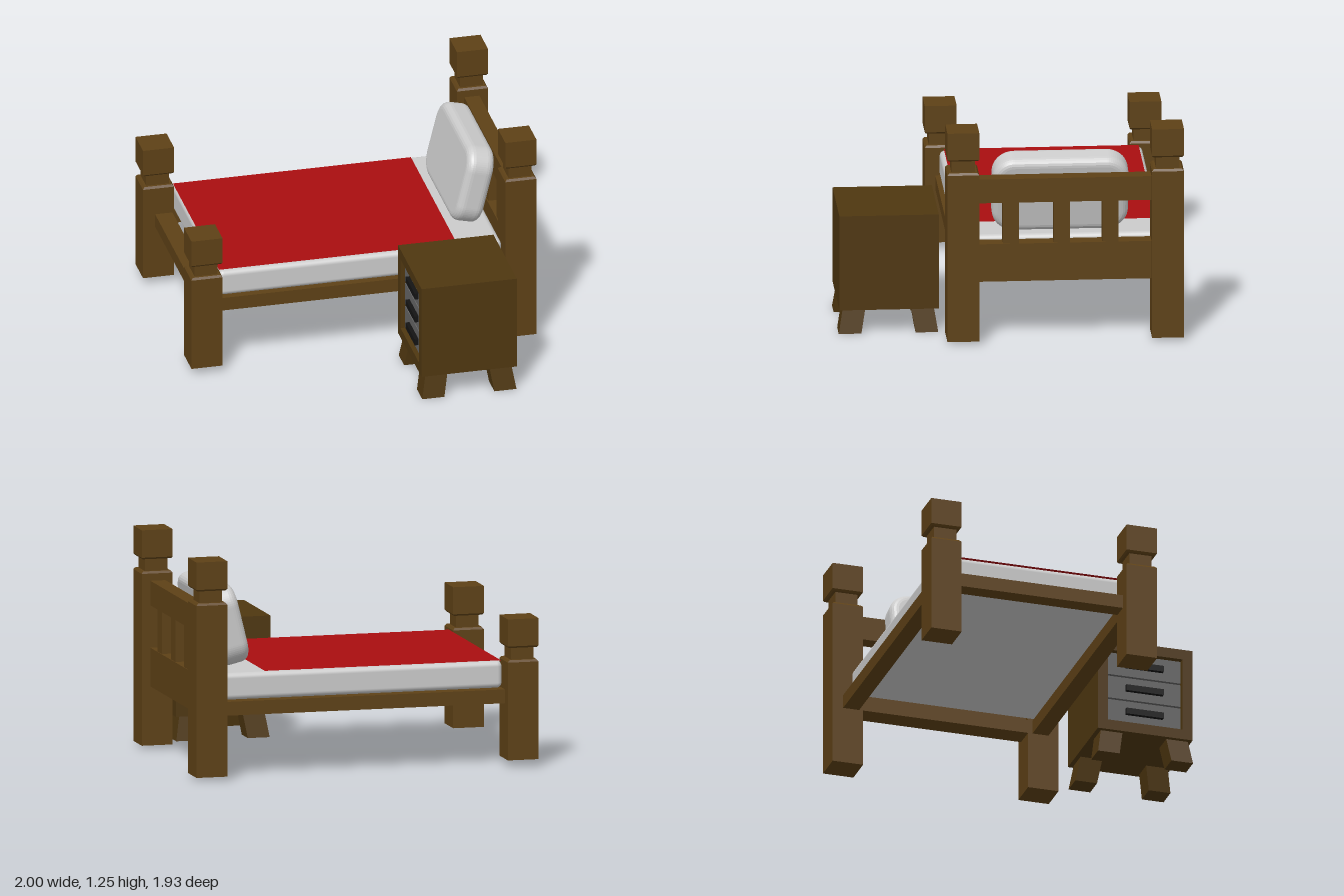
import * as THREE from 'three';
import { RoundedBoxGeometry } from 'three/addons/geometries/RoundedBoxGeometry.js';

const mat = (color, extra = {}) => {
  const m = new THREE.MeshStandardMaterial(extra);
  m.color.set(color);
  return m;
};

export function createModel() {
  const model = new THREE.Group();
  model.name = 'bedroomSet';
  const wood = mat(0x5e4116, { flatShading: true });
  const darkWood = mat(0x4f3710, { flatShading: true });
  const grey = mat(0xcccccc);
  const red = mat(0xaa0e10, { side: THREE.DoubleSide });
  const drawerGrey = mat(0x666666);
  const black = mat(0x141414);

  const bed = new THREE.Group();
  bed.name = 'bed';
  const nightstand = new THREE.Group();
  nightstand.name = 'nightstand';
  model.add(bed, nightstand);

  const add = (parent, name, geometry, material) => {
    const mesh = new THREE.Mesh(geometry, material);
    mesh.name = name;
    parent.add(mesh);
    return mesh;
  };
  // Box given by its limits on each axis
  const box = (parent, name, material, [x0, x1], [y0, y1], [z0, z1]) => {
    const mesh = add(parent, name, new THREE.BoxGeometry(x1 - x0, y1 - y0, z1 - z0), material);
    mesh.position.set((x0 + x1) / 2, (y0 + y1) / 2, (z0 + z1) / 2);
    return mesh;
  };

  // Square bed posts: shaft, narrow neck and block cap, turned as four-sided profiles
  const post = (name, x, z, bottom, shoulder, top) => {
    const h = 0.09, n = 0.066;
    const profile = [
      [0, bottom], [h, bottom], [h, shoulder - 0.012], [h - 0.01, shoulder], [n, shoulder],
      [n, shoulder + 0.07], [h - 0.008, shoulder + 0.07], [h, shoulder + 0.08], [h, top], [0, top],
    ].map(([r, y]) => new THREE.Vector2(r * Math.SQRT2, y));
    const mesh = add(bed, name, new THREE.LatheGeometry(profile, 4, Math.PI / 4), wood);
    mesh.position.set(x, 0, z);
  };
  for (const z of [-0.877, 0.279]) {
    post('headPost', 0.91, z, 0.02, 1.013, 1.25);
    post('footPost', -0.91, z, 0.04, 0.61, 0.845);
  }

  // Bed frame
  const railY = [0.357, 0.436];
  const between = [-0.79, 0.192];
  box(bed, 'sideRail', wood, [-0.83, 0.83], railY, [-0.905, -0.81]);
  box(bed, 'sideRail', wood, [-0.83, 0.83], railY, [0.215, 0.31]);
  box(bed, 'footRail', wood, [-0.93, -0.83], railY, between);
  box(bed, 'headRail', wood, [0.82, 0.95], railY, between);

  // Headboard
  const boardX = [0.862, 0.95];
  box(bed, 'headboardPanel', wood, boardX, [0.436, 0.578], between);
  box(bed, 'headboardTopBar', wood, boardX, [0.82, 0.96], between);
  for (const z of [0.006, -0.281, -0.555]) {
    box(bed, 'headboardSlat', wood, [0.868, 0.946], [0.57, 0.83], [z - 0.045, z + 0.045]);
  }

  // Mattress and blanket
  const mattress = add(bed, 'mattress', new RoundedBoxGeometry(1.64, 0.153, 1.145, 4, 0.03), grey);
  mattress.position.set(0, 0.5125, -0.285);
  const blanket = add(bed, 'blanket', new THREE.PlaneGeometry(1.38, 1.1).rotateX(-Math.PI / 2), red);
  blanket.position.set(-0.125, 0.592, -0.288);

  // Pillow: rounded rectangle with a soft bevel, leaning on the headboard
  const bevel = 0.045, w = 0.77 / 2 - bevel, h = 0.462 / 2 - bevel, r = 0.08;
  const outline = new THREE.Shape();
  outline.absarc(w - r, h - r, r, 0, Math.PI / 2);
  outline.absarc(r - w, h - r, r, Math.PI / 2, Math.PI);
  outline.absarc(r - w, r - h, r, Math.PI, Math.PI * 1.5);
  outline.absarc(w - r, r - h, r, Math.PI * 1.5, Math.PI * 2);
  const thickness = 0.16;
  const pillowGeo = new THREE.ExtrudeGeometry(outline, {
    depth: thickness - 2 * bevel, bevelThickness: bevel, bevelSize: bevel, bevelSegments: 5, curveSegments: 8,
  });
  pillowGeo.center().rotateY(Math.PI / 2);
  const pillow = add(bed, 'pillow', pillowGeo, grey);
  pillow.position.set(0.715, 0.82, -0.285);
  pillow.rotation.z = -0.24;

  // Nightstand case: solid body with an open frame round the drawers on the -x side
  const [x0, x1, y0, y1, z0, z1] = [0.19, 0.743, 0.14, 0.695, 0.4, 0.961];
  const inset = 0.05, rim = 0.06;
  box(nightstand, 'caseBody', darkWood, [x0 + inset, x1], [y0, y1], [z0, z1]);
  for (const y of [y0, y1 - rim]) {
    box(nightstand, 'caseRail', darkWood, [x0, x0 + inset], [y, y + rim], [z0, z1]);
  }
  for (const z of [z0, z1 - rim]) {
    box(nightstand, 'caseStile', darkWood, [x0, x0 + inset], [y0 + rim, y1 - rim], [z, z + rim]);
  }

  // Drawers with bar handles
  const pitch = (y1 - y0 - 2 * rim) / 3, midZ = (z0 + z1) / 2;
  for (let i = 0; i < 3; i++) {
    const y = y0 + rim + pitch * (i + 0.5);
    box(nightstand, 'drawer', drawerGrey, [x0 + 0.025, x0 + inset + 0.01],
      [y - pitch / 2 + 0.005, y + pitch / 2 - 0.005], [z0 + rim + 0.004, z1 - rim - 0.004]);
    box(nightstand, 'drawerHandle', black, [x0 + 0.002, x0 + 0.03], [y - 0.018, y + 0.018], [midZ - 0.11, midZ + 0.11]);
  }

  // Splayed legs: boxes whose feet are pushed outwards
  const legHeight = 0.15, legWidth = 0.128, splay = 0.025;
  for (const sx of [-1, 1]) {
    for (const sz of [-1, 1]) {
      const geo = new THREE.BoxGeometry(legWidth, legHeight, legWidth);
      const p = geo.attributes.position;
      for (let i = 0; i < p.count; i++) {
        if (p.getY(i) < 0) p.setXYZ(i, p.getX(i) + sx * splay, p.getY(i), p.getZ(i) + sz * splay);
      }
      geo.computeVertexNormals();
      const leg = add(nightstand, 'nightstandLeg', geo, darkWood);
      leg.position.set((x0 + x1) / 2 + sx * 0.184, legHeight / 2, midZ + 0.003 + sz * 0.192);
    }
  }
  return model;
}
